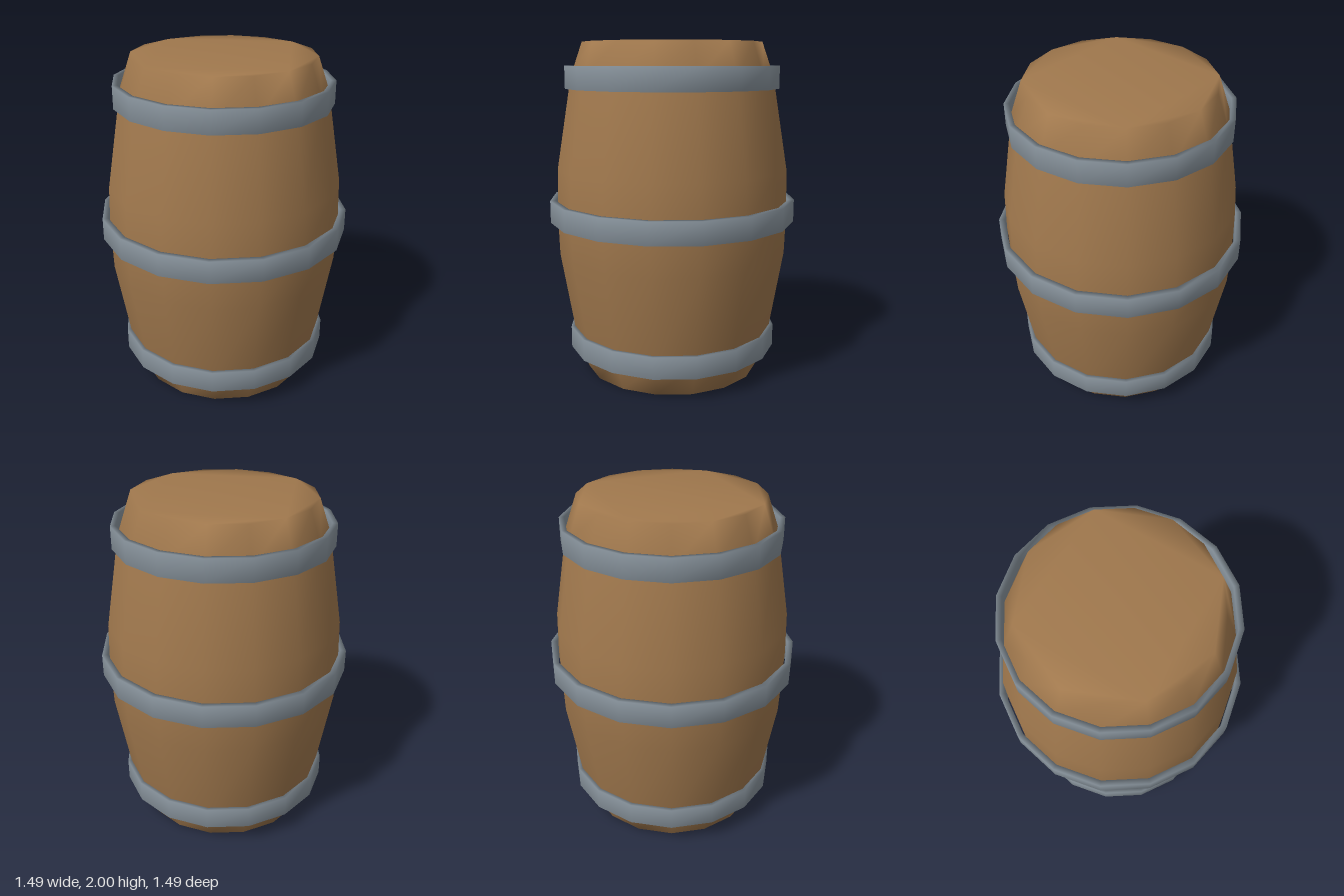
import * as THREE from 'three';

const SIDES = 16;

// Sweeps [radius, y] points around y with smooth shared normals.
// 'loop' joins the last point to the first; otherwise both ends get flat caps.
function revolve(profile, loop) {
  const positions = [];
  const index = [];
  for (const [r, y] of profile) {
    for (let j = 0; j < SIDES; j++) {
      const a = (j / SIDES) * Math.PI * 2;
      positions.push(r * Math.cos(a), y, r * Math.sin(a));
    }
  }
  const n = profile.length;
  const at = (i, j) => (i % n) * SIDES + (j % SIDES);

  for (let i = 0; i < (loop ? n : n - 1); i++) {
    for (let j = 0; j < SIDES; j++) {
      index.push(at(i, j + 1), at(i, j), at(i + 1, j));
      index.push(at(i, j + 1), at(i + 1, j), at(i + 1, j + 1));
    }
  }

  // Caps: clip every other corner until nothing is left
  if (!loop) {
    for (let s = 1; s < SIDES / 2; s *= 2) {
      for (let j = 0; j < SIDES; j += 2 * s) {
        index.push(at(n - 1, j + 2 * s), at(n - 1, j + s), at(n - 1, j));
        index.push(at(0, j), at(0, j + s), at(0, j + 2 * s));
      }
    }
  }

  const geometry = new THREE.BufferGeometry();
  geometry.setAttribute('position', new THREE.Float32BufferAttribute(positions, 3));
  geometry.setIndex(index);
  geometry.computeVertexNormals();
  return geometry;
}

export function createModel() {
  const wood = new THREE.MeshStandardMaterial({ color: 0xa0784d });
  wood.name = 'wood';
  const iron = new THREE.MeshStandardMaterial({ color: 0x87929b });
  iron.name = 'iron';

  const barrel = new THREE.Group();
  barrel.name = 'barrel';
  const add = (name, geometry, material) => {
    const mesh = new THREE.Mesh(geometry, material);
    mesh.name = name;
    barrel.add(mesh);
  };

  // Bulging wooden body, the same above and below the middle
  const half = [[0.535, 0], [0.605, 0.2], [0.695, 0.74]];
  const upper = half.map(([r, y]) => [r, 2 - y]).reverse();
  add('body', revolve([...half, [0.703, 1], ...upper], false), wood);

  // Metal hoops: inner radius, outer radius, bottom, top
  const hoops = [
    ['lowerHoop', 0.61, 0.64, 0.14, 0.272],
    ['middleHoop', 0.712, 0.746, 0.936, 1.07],
    ['upperHoop', 0.61, 0.64, 1.73, 1.863],
  ];
  for (const [name, inner, outer, y0, y1] of hoops) {
    add(name, revolve([[outer, y0], [outer, y1], [inner, y1], [inner, y0]], true), iron);
  }

  return barrel;
}
